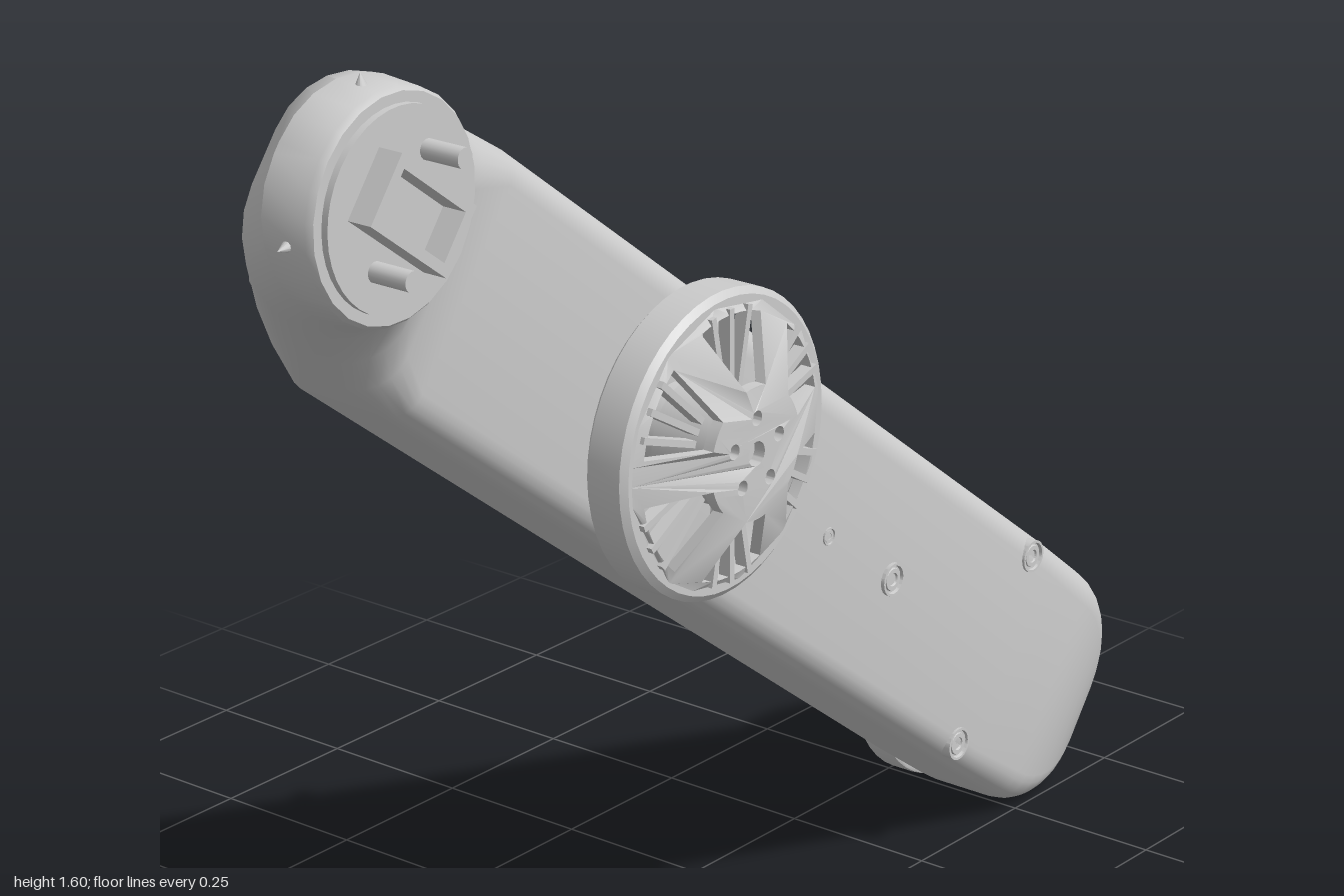
import * as THREE from 'three';
import { toCreasedNormals } from 'three/addons/utils/BufferGeometryUtils.js';

const grey = new THREE.MeshStandardMaterial({ color: 0xcccccc, side: THREE.DoubleSide });

function add(parent, name, geometry, x = 0, y = 0, z = 0) {
  const mesh = new THREE.Mesh(geometry, grey);
  mesh.name = name;
  mesh.position.set(x, y, z);
  parent.add(mesh);
  return mesh;
}

// Cylinder whose axis runs along z, between z0 and z1
function disc(parent, name, r, x, y, z0, z1, sides = 32) {
  const g = new THREE.CylinderGeometry(r, r, z1 - z0, sides).rotateX(Math.PI / 2);
  return add(parent, name, g, x, y, (z0 + z1) / 2);
}

function circlePath(r, x = 0, y = 0) {
  return new THREE.Path().absarc(x, y, r, 0, Math.PI * 2, true);
}

function rectPoints(w, h) {
  return [[-w, -h], [-w, h], [w, h], [w, -h]].map(([x, y]) => new THREE.Vector2(x / 2, y / 2));
}

// Plate from a shape, creased at its edges
function plate(shape, depth, bevel = 0) {
  const g = new THREE.ExtrudeGeometry(shape, {
    depth, curveSegments: 24, bevelEnabled: bevel > 0,
    bevelSize: bevel, bevelThickness: bevel, bevelOffset: -bevel, bevelSegments: 2,
  });
  return toCreasedNormals(g, 0.5);
}

// Screw: raised collar with a sunken head, facing +z
function screw(parent, name, r, x, y, z) {
  const pts = [[0.001, 0.001], [r * 0.35, 0.001], [r * 0.4, 0.004], [r * 0.65, 0.004], [r * 0.7, 0.001],
    [r * 0.8, 0.001], [r * 0.85, 0.006], [r, 0.006], [r, -0.02]].map(p => new THREE.Vector2(...p));
  const g = toCreasedNormals(new THREE.LatheGeometry(pts, 20).rotateX(Math.PI / 2), 0.5);
  return add(parent, name, g, x, y, z);
}

// Loft of rounded-rectangle sections: [outer u, outer z, inner u, inner z, half width, corner radius]
function loft(sections) {
  const pos = [], index = [], seg = 6, n = 4 * (seg + 1);
  for (const [ou, oz, iu, iz, w, radius] of sections) {
    const cu = (ou + iu) / 2, cz = (oz + iz) / 2;
    const h = Math.hypot(iu - ou, iz - oz) / 2;
    const du = (iu - ou) / (2 * h), dz = (iz - oz) / (2 * h);
    const r = Math.min(radius, w, h);
    for (let k = 0; k < 4; k++) {
      for (let s = 0; s <= seg; s++) {
        const a = (k + s / seg) * Math.PI / 2;
        const p = (k === 0 || k === 3 ? 1 : -1) * (h - r) + r * Math.cos(a);
        const q = (k < 2 ? 1 : -1) * (w - r) + r * Math.sin(a);
        pos.push(cu + du * p, q, cz + dz * p);
      }
    }
  }
  const last = sections.length - 1;
  for (let i = 0; i < last; i++) {
    for (let j = 0; j < n; j++) {
      const a = i * n + j, b = i * n + (j + 1) % n;
      index.push(a, a + n, b, b, a + n, b + n);
    }
  }
  for (let j = 1; j < n - 1; j++) {
    index.push(0, j, j + 1, last * n, last * n + j + 1, last * n + j);
  }
  const g = new THREE.BufferGeometry();
  g.setAttribute('position', new THREE.Float32BufferAttribute(pos, 3));
  g.setIndex(index);
  return toCreasedNormals(g, 0.5);
}

// Spoked wheel, facing +z
function makeWheel() {
  const wheel = new THREE.Group();
  wheel.name = 'wheel';
  const rim = [[0.2, 0.045], [0.217, 0.045], [0.225, 0.053], [0.225, 0.108], [0.215, 0.116], [0.198, 0.116], [0.2, 0.045]];
  add(wheel, 'rim', toCreasedNormals(new THREE.LatheGeometry(
    rim.map(p => new THREE.Vector2(...p)), 48).rotateX(Math.PI / 2).scale(1, 1, -1).rotateY(Math.PI), 0.5))
    .scale.z = 1;
  // Dished face with windows, bolt holes and a centre hole
  const face = new THREE.Shape().absarc(0, 0, 0.21, 0, Math.PI * 2, false);
  const at = (r, a) => new THREE.Vector2(r * Math.cos(a), r * Math.sin(a));
  const count = 6;
  for (let i = 0; i < count; i++) {
    const a = Math.PI / 2 + i * Math.PI * 2 / count;
    const hole = [];
    for (let k = -3; k <= 3; k++) hole.push(at(0.193, a + k * 0.115));
    for (let k = 2; k >= -2; k--) hole.push(at(0.098, a + k * 0.11));
    face.holes.push(new THREE.Path(hole));
    // Thin bars seen through each window
    for (const off of [-0.2, 0, 0.2]) {
      const bar = add(wheel, 'thinSpoke', new THREE.BoxGeometry(0.12, 0.01, 0.02), ...at(0.142, a + off), 0.115);
      bar.rotation.set(0, 0, a + off);
    }
  }
  for (let i = 0; i < 5; i++) {
    const p = at(0.052, 0.3 + i * Math.PI * 0.4);
    face.holes.push(circlePath(0.011, p.x, p.y));
    disc(wheel, 'bolt', 0.008, p.x, p.y, 0.12, 0.156, 6);
  }
  face.holes.push(circlePath(0.018));
  const g = new THREE.ExtrudeGeometry(face, { depth: 0.018, bevelEnabled: false, curveSegments: 24 });
  const v = g.attributes.position;
  for (let i = 0; i < v.count; i++) {
    const t = THREE.MathUtils.clamp((Math.hypot(v.getX(i), v.getY(i)) - 0.095) / 0.115, 0, 1);
    v.setZ(i, v.getZ(i) + 0.15 - 0.053 * t);
  }
  add(wheel, 'spokedFace', toCreasedNormals(g, 0.5));
  disc(wheel, 'hub', 0.085, 0, 0, 0.05, 0.14);
  disc(wheel, 'axle', 0.072, 0, 0, 0.0, 0.05);
  return wheel;
}

export function createModel() {
  const model = new THREE.Group();
  const arm = new THREE.Group();
  arm.name = 'arm';
  const tilt = Math.atan2(0.6, 0.8);
  arm.position.set(0.384, 0.512, 0);
  arm.rotation.z = -tilt;
  model.add(arm);

  // Housing: round head, elbow, straight arm, rounded end
  const sections = [
    [-1.675, 0.15, -1.375, 0.15, 0.15, 0.15],
    [-1.68, 0.14, -1.37, 0.145, 0.155, 0.155],
    [-1.682, 0.07, -1.366, 0.115, 0.158, 0.15],
    [-1.62, 0, -1.34, 0.08, 0.168, 0.13],
    [-1.47, -0.085, -1.29, 0.043, 0.18, 0.1],
    [-1.34, -0.14, -1.245, 0.026, 0.19, 0.07],
    [-1.22, -0.183, -1.18, 0.02, 0.195, 0.045],
    [0.4, -0.183, 0.4, 0.02, 0.195, 0.045],
  ];
  for (let i = 0; i <= 10; i++) {
    const a = i * 1.5 / 10, u = 0.535 + 0.192 * Math.sin(a);
    sections.push([u, -0.183, u, 0.02 - 0.065 * (1 - Math.cos(a)), 0.193 * Math.cos(a), 0.05]);
  }
  add(arm, 'housing', loft(sections));

  // End socket on the back
  const endU = 0.535;
  const ring = new THREE.Shape().absarc(0, 0, 0.193, 0, Math.PI * 2, false);
  ring.holes.push(circlePath(0.152));
  add(arm, 'socketRing', plate(ring, 0.04, 0.004), endU, 0, -0.22);
  const insert = new THREE.Shape().absarc(0, 0, 0.142, 0, Math.PI * 2, false);
  insert.holes.push(new THREE.Path(rectPoints(0.15, 0.11)));
  for (const s of [-1, 1]) insert.holes.push(circlePath(0.017, 0, s * 0.084));
  add(arm, 'socketPlate', plate(insert, 0.035), endU, 0, -0.215);

  // Head connector: flange, hollow block and two pegs
  const headU = -1.525;
  disc(arm, 'headFlange', 0.135, headU, 0, 0.14, 0.16, 40);
  const block = new THREE.Shape(rectPoints(0.17, 0.1));
  block.holes.push(new THREE.Path(rectPoints(0.14, 0.07)));
  add(arm, 'connectorBlock', plate(block, 0.04), headU, 0, 0.158);
  for (const s of [-1, 1]) disc(arm, 'connectorPeg', 0.014, headU, s * 0.084, 0.15, 0.222, 16);

  // Small studs round the head
  for (const a of [0.75, 2.3, 3.9, 5.5]) {
    const stud = add(arm, 'headStud', new THREE.ConeGeometry(0.014, 0.03, 12),
      headU + 0.158 * Math.cos(a), 0.158 * Math.sin(a), 0.11);
    stud.rotation.z = a - Math.PI / 2;
  }

  // Screw seats on the sloping back of the elbow
  for (const s of [-1, 1]) {
    screw(arm, 'elbowScrew', 0.035, -1.42, s * 0.085, -0.108).rotation.y = Math.PI + 0.39;
  }

  // Front screws and pin hole
  for (const [u, v, z] of [[0, 0, 0.02], [0.34, 0.158, 0.018], [0.34, -0.158, 0.018]]) {
    screw(arm, 'frontScrew', 0.026, u, v, z);
  }
  screw(arm, 'tipScrew', 0.024, 0.7, 0, -0.025).rotation.y = 0.6;
  screw(arm, 'frontPin', 0.014, -0.195, 0, 0.017);

  // Back screws, along both edges and on the centre line
  for (const s of [-1, 1]) {
    for (const u of [-0.92, -0.385]) screw(arm, 'backEdgeScrew', 0.024, u, s * 0.158, -0.182).rotation.y = Math.PI;
  }
  screw(arm, 'backPin', 0.014, -0.64, 0, -0.18).rotation.y = Math.PI;
  screw(arm, 'backStud', 0.016, 0.29, 0, -0.183).rotation.y = Math.PI;

  // Rounded triangular mounting plate on the back
  const tri = new THREE.Shape();
  tri.moveTo(-0.12, -0.13);
  tri.lineTo(-0.12, 0.13);
  tri.quadraticCurveTo(-0.125, 0.165, -0.16, 0.14);
  tri.lineTo(-0.235, 0.035);
  tri.quadraticCurveTo(-0.255, 0, -0.235, -0.035);
  tri.lineTo(-0.16, -0.14);
  tri.quadraticCurveTo(-0.125, -0.165, -0.12, -0.13);
  for (const [u, v] of [[-0.145, 0.115], [-0.145, -0.115], [-0.215, 0]]) tri.holes.push(circlePath(0.011, u, v));
  add(arm, 'mountingPlate', plate(tri, 0.022, 0.004), 0, 0, -0.202);

  // Wheel on the front
  const wheel = makeWheel();
  wheel.position.x = -0.645;
  wheel.rotation.z = tilt;
  arm.add(wheel);
  return model;
}
